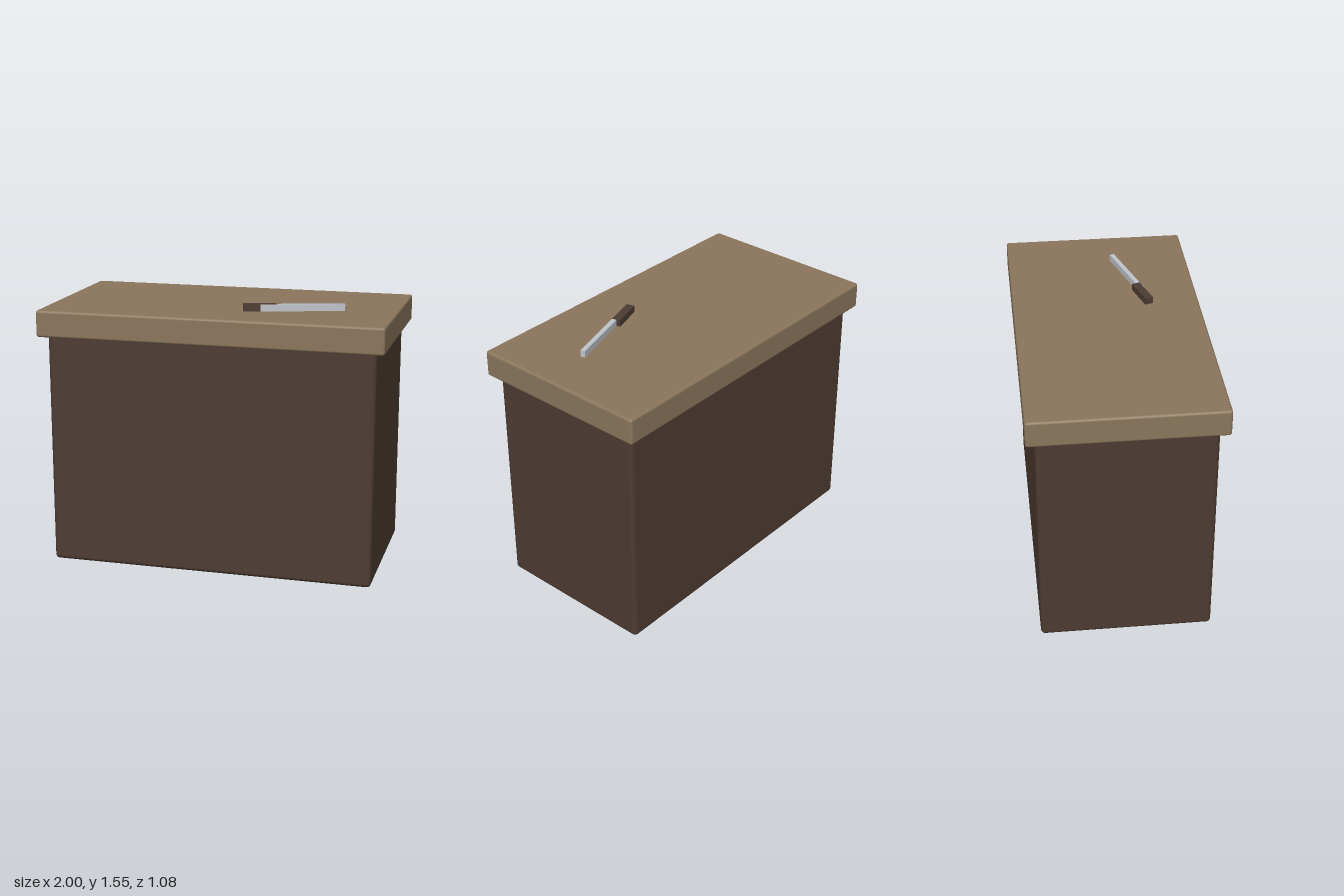
import * as THREE from 'three';
import { RoundedBoxGeometry } from 'three/addons/geometries/RoundedBoxGeometry.js';

const material = (color) => new THREE.MeshStandardMaterial({ color });

function addMesh(parent, name, geometry, mat, x, y, z) {
  const mesh = new THREE.Mesh(geometry, mat);
  mesh.name = name;
  mesh.position.set(x, y, z);
  parent.add(mesh);
}

export function createModel() {
  const model = new THREE.Group();
  model.name = 'kitchenCounter';
  const darkWood = material(0x4d3c33);
  const lightWood = material(0x8b765c);
  const steel = material(0xc0c4cc);

  // Cabinet body, its rounded top tucked inside the worktop
  addMesh(model, 'cabinet', new RoundedBoxGeometry(1.9, 1.4, 0.98, 4, 0.025), darkWood, 0, 0.7, 0);

  // Overhanging worktop
  addMesh(model, 'worktop', new RoundedBoxGeometry(2, 0.155, 1.08, 4, 0.015), lightWood, 0, 1.4325, 0);

  // Knife lying at an angle, blade set along the front side of the handle
  const knife = new THREE.Group();
  knife.name = 'knife';
  knife.position.set(0.235, 1.51, 0.22);
  knife.rotation.y = 0.3;
  addMesh(knife, 'knifeHandle', new THREE.BoxGeometry(0.19, 0.04, 0.048), darkWood, 0, 0.02, 0);
  addMesh(knife, 'knifeBlade', new THREE.BoxGeometry(0.48, 0.039, 0.027), steel, 0.243, 0.0195, 0.012);
  model.add(knife);

  return model;
}
